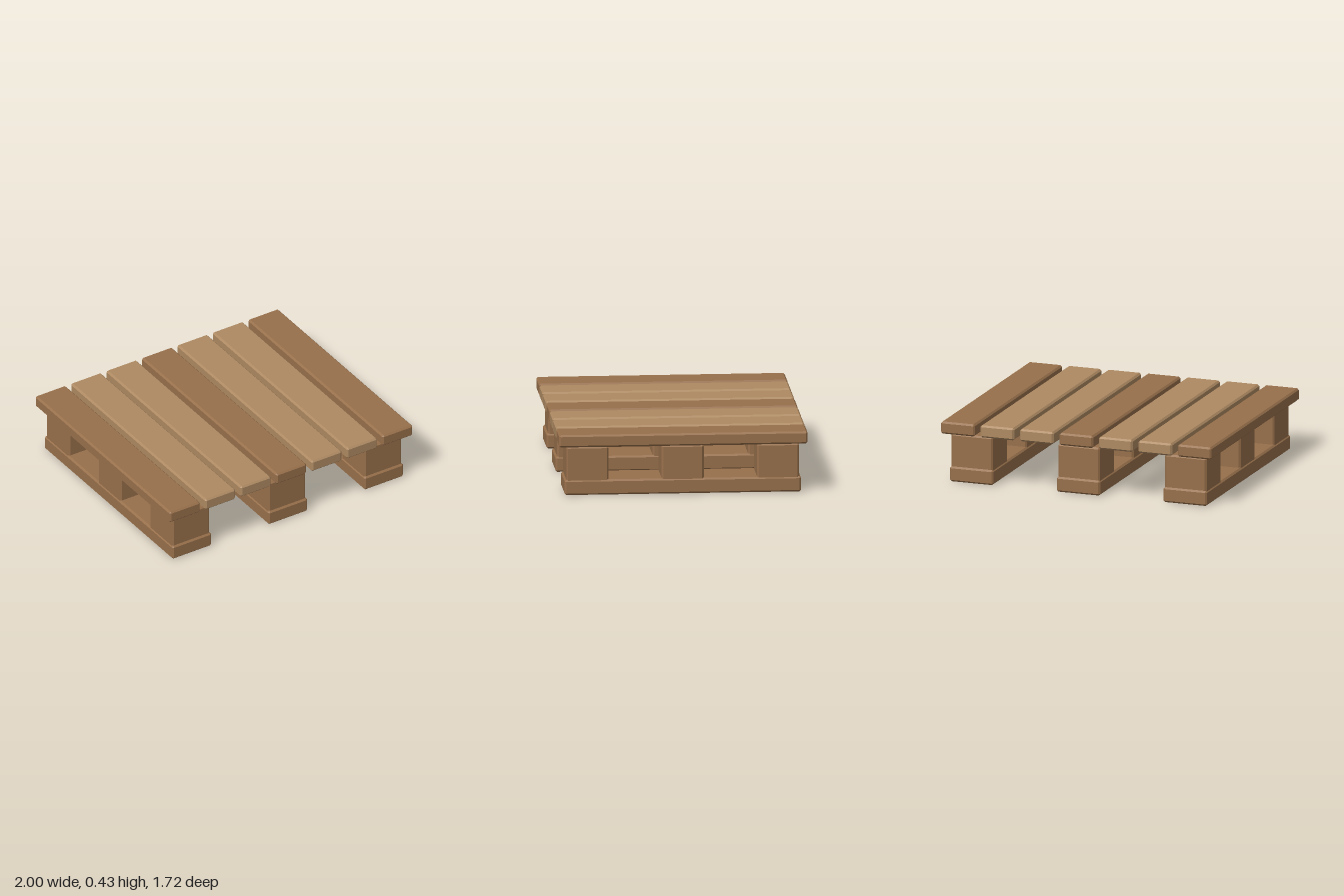
import * as THREE from 'three';
import { ConvexGeometry } from 'three/addons/geometries/ConvexGeometry.js';

const darkWood = new THREE.MeshStandardMaterial({ color: 0x98704b });
const lightWood = new THREE.MeshStandardMaterial({ color: 0xae8a62 });

// Box with every edge chamfered by c: three corner points per box corner
function chamferedBox(w, h, d, c) {
  const points = [];
  for (const sx of [-1, 1]) for (const sy of [-1, 1]) for (const sz of [-1, 1]) {
    const x = w / 2, y = h / 2, z = d / 2;
    points.push(
      new THREE.Vector3(sx * x, sy * (y - c), sz * (z - c)),
      new THREE.Vector3(sx * (x - c), sy * y, sz * (z - c)),
      new THREE.Vector3(sx * (x - c), sy * (y - c), sz * z)
    );
  }
  return new ConvexGeometry(points);
}

export function createModel() {
  const pallet = new THREE.Group();
  pallet.name = 'pallet';

  const add = (name, geometry, material, x, y, z) => {
    const mesh = new THREE.Mesh(geometry, material);
    mesh.name = name;
    mesh.position.set(x, y, z);
    pallet.add(mesh);
  };

  // Seven deck boards; the outer and middle ones are darker
  const board = chamferedBox(0.25, 0.087, 1.724, 0.012);
  for (let i = -3; i <= 3; i++) {
    add('deckBoard', board, i % 3 === 0 ? darkWood : lightWood, i * 0.2917, 0.3905, 0);
  }

  // Three bottom runners, each carrying three spacer blocks
  const runner = chamferedBox(0.322, 0.107, 1.64, 0.012);
  const block = chamferedBox(0.308, 0.25, 0.292, 0.012);
  for (const x of [-0.79, 0, 0.79]) {
    add('bottomRunner', runner, darkWood, x, 0.0535, 0);
    for (const z of [-0.662, 0, 0.662]) add('spacerBlock', block, darkWood, x, 0.215, z);
  }

  return pallet;
}
